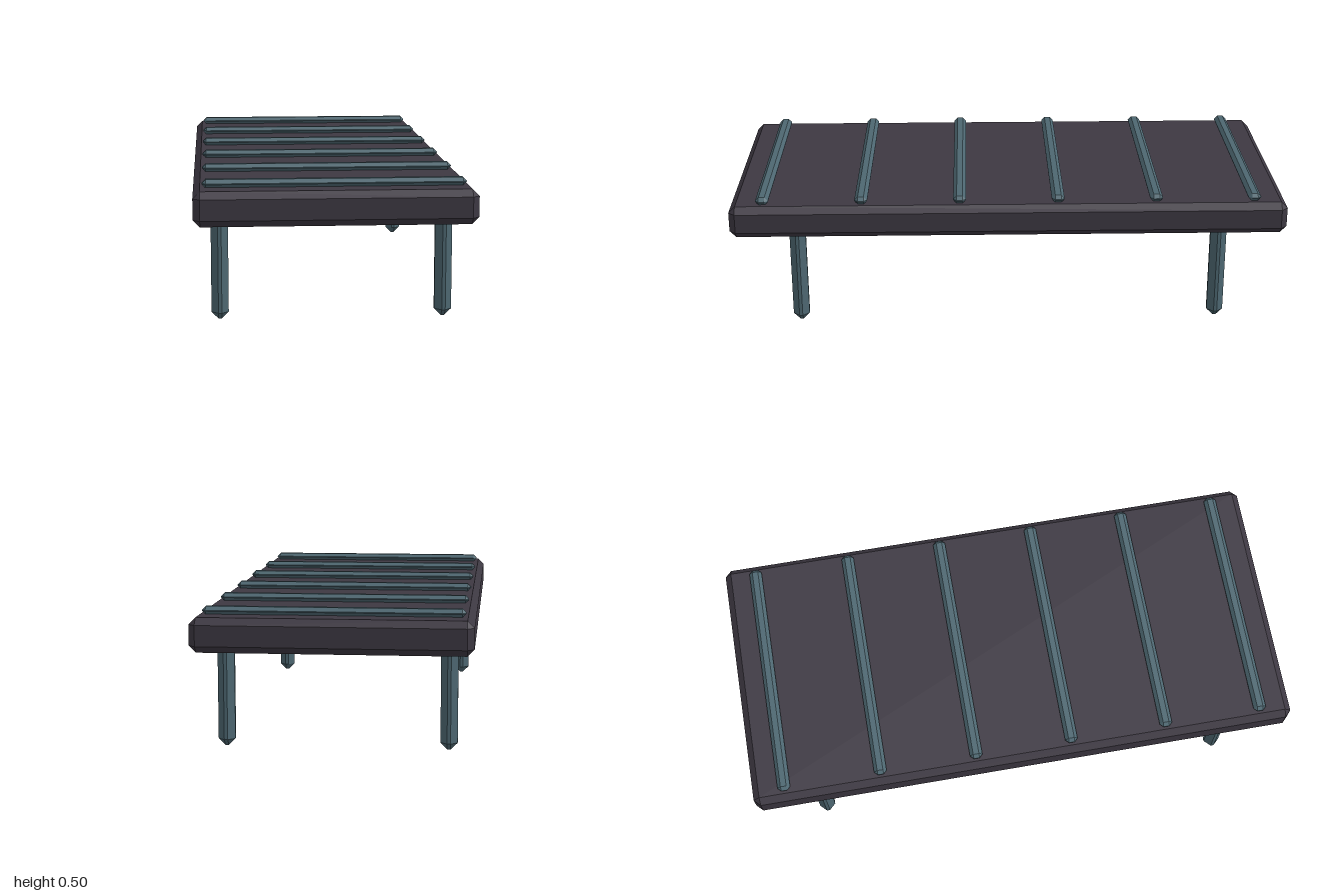
import * as THREE from 'three';
import { ConvexGeometry } from 'three/addons/geometries/ConvexGeometry.js';

// Box with every edge chamfered by c, corners cut to triangles
function chamferBox(w, h, d, c) {
  const full = [w / 2, h / 2, d / 2];
  const points = [];
  for (const sx of [-1, 1]) for (const sy of [-1, 1]) for (const sz of [-1, 1]) {
    for (let axis = 0; axis < 3; axis++) {
      const [x, y, z] = full.map((v, i) => (i === axis ? v : v - c));
      points.push(new THREE.Vector3(sx * x, sy * y, sz * z));
    }
  }
  return new ConvexGeometry(points);
}

export function createModel() {
  const model = new THREE.Group();
  model.name = 'bench';
  const dark = new THREE.MeshStandardMaterial({ color: 0x3d3842, flatShading: true });
  const steel = new THREE.MeshStandardMaterial({ color: 0x4d6771, flatShading: true });

  const add = (name, geometry, material, x, y, z) => {
    const mesh = new THREE.Mesh(geometry, material);
    mesh.name = name;
    mesh.position.set(x, y, z);
    model.add(mesh);
  };

  // Thick slab top
  add('slab', chamferBox(0.938, 0.117, 2, 0.0234), dark, 0, 0.4135, 0);

  // Six cross slats lying on the slab
  const slat = chamferBox(0.878, 0.028, 0.046, 0.0125);
  for (let i = 0; i < 6; i++) add('slat', slat, steel, 0, 0.4845, (i - 2.5) * 0.353);

  // Four legs, their tops set into the slab
  const leg = chamferBox(0.0586, 0.41, 0.0586, 0.0234);
  for (const x of [-0.382, 0.382]) {
    for (const z of [-0.765, 0.765]) add('leg', leg, steel, x, 0.205, z);
  }
  return model;
}
